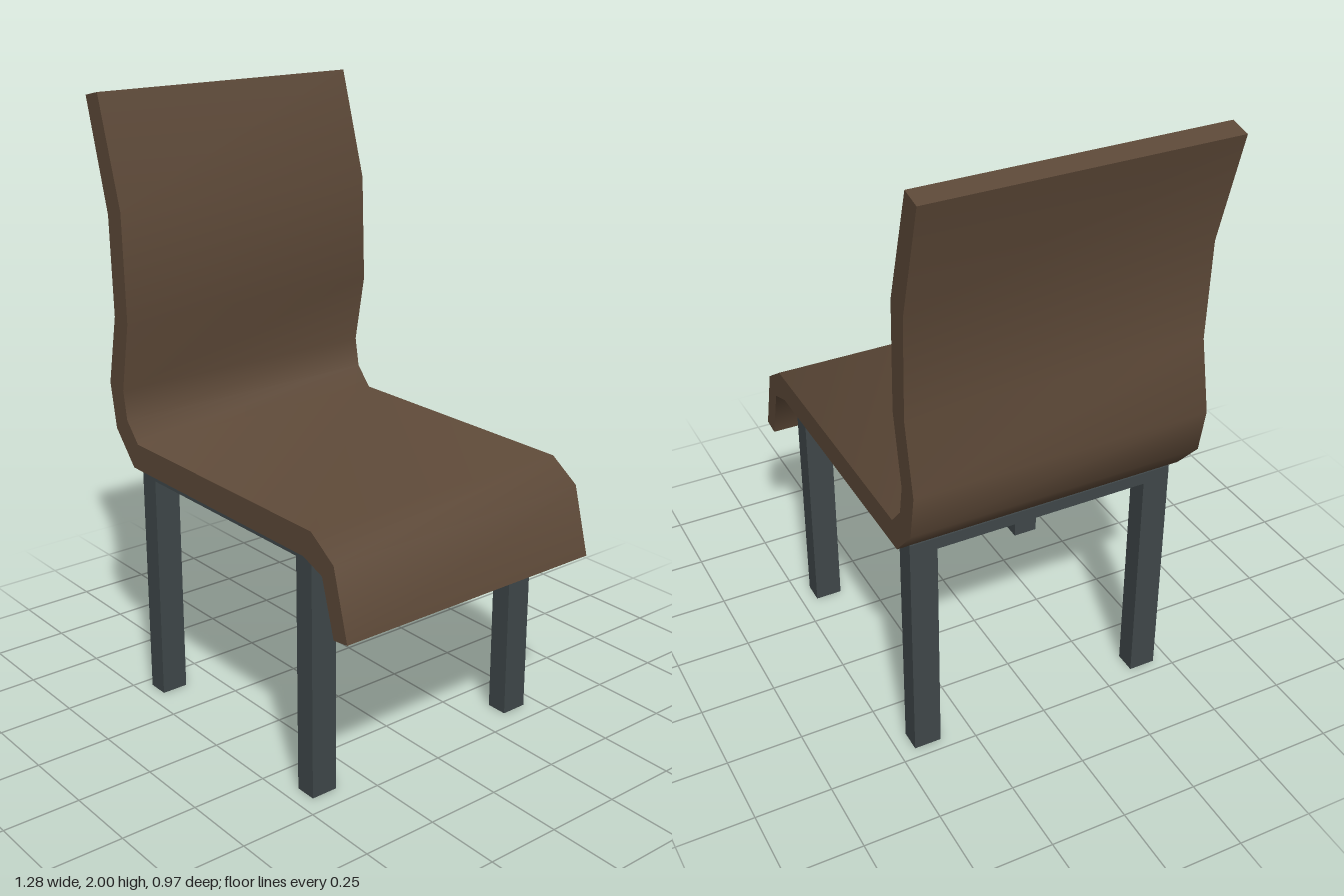
import * as THREE from 'three';
import { toCreasedNormals } from 'three/addons/utils/BufferGeometryUtils.js';

export function createModel() {
  const model = new THREE.Group();
  model.name = 'chair';
  const brown = new THREE.MeshStandardMaterial({ color: 0x5c4837 });
  brown.name = 'brown shell';
  const steel = new THREE.MeshStandardMaterial({ color: 0x3f4749 });
  steel.name = 'dark steel';

  // Bent shell: side profile from the backrest top, over the seat to the front lip, and back underneath
  const profile = [
    [-0.574, 2.0], [-0.468, 1.645], [-0.457, 1.29], [-0.502, 1.06], [-0.485, 0.963], [-0.426, 0.897],
    [0.479, 0.897], [0.58, 0.828], [0.64, 0.608],
    [0.58, 0.6], [0.528, 0.778], [0.442, 0.81], [-0.455, 0.81],
    [-0.553, 0.92], [-0.58, 1.07], [-0.532, 1.3], [-0.543, 1.625], [-0.643, 1.985],
  ];
  const width = 0.968;
  const shape = new THREE.Shape(profile.map(([x, y]) => new THREE.Vector2(x, y)));
  const shellGeometry = new THREE.ExtrudeGeometry(shape, { depth: width, bevelEnabled: false });
  shellGeometry.translate(0, 0, -width / 2);
  const shell = new THREE.Mesh(toCreasedNormals(shellGeometry, THREE.MathUtils.degToRad(55)), brown);
  shell.name = 'seatAndBackrest';
  model.add(shell);

  const bar = (name, w, h, d, x, y, z) => {
    const mesh = new THREE.Mesh(new THREE.BoxGeometry(w, h, d), steel);
    mesh.name = name;
    mesh.position.set(x, y, z);
    model.add(mesh);
  };

  // Four legs, joined by a frame of rails under the seat
  const backX = -0.426, frontX = 0.397, legZ = 0.402;
  const legW = 0.072, legD = 0.09, legH = 0.812;
  for (const [end, x] of [['back', backX], ['front', frontX]]) {
    for (const [side, s] of [['Left', -1], ['Right', 1]]) {
      bar(`${end}${side}Leg`, legW, legH, legD, x, legH / 2, s * legZ);
    }
    bar(`${end}Rail`, legW, 0.04, 2 * legZ - legD, x, 0.792, 0);
  }
  for (const [side, s] of [['left', -1], ['right', 1]]) {
    bar(`${side}Rail`, frontX - backX - legW, 0.04, legD, (backX + frontX) / 2, 0.792, s * legZ);
  }
  return model;
}
